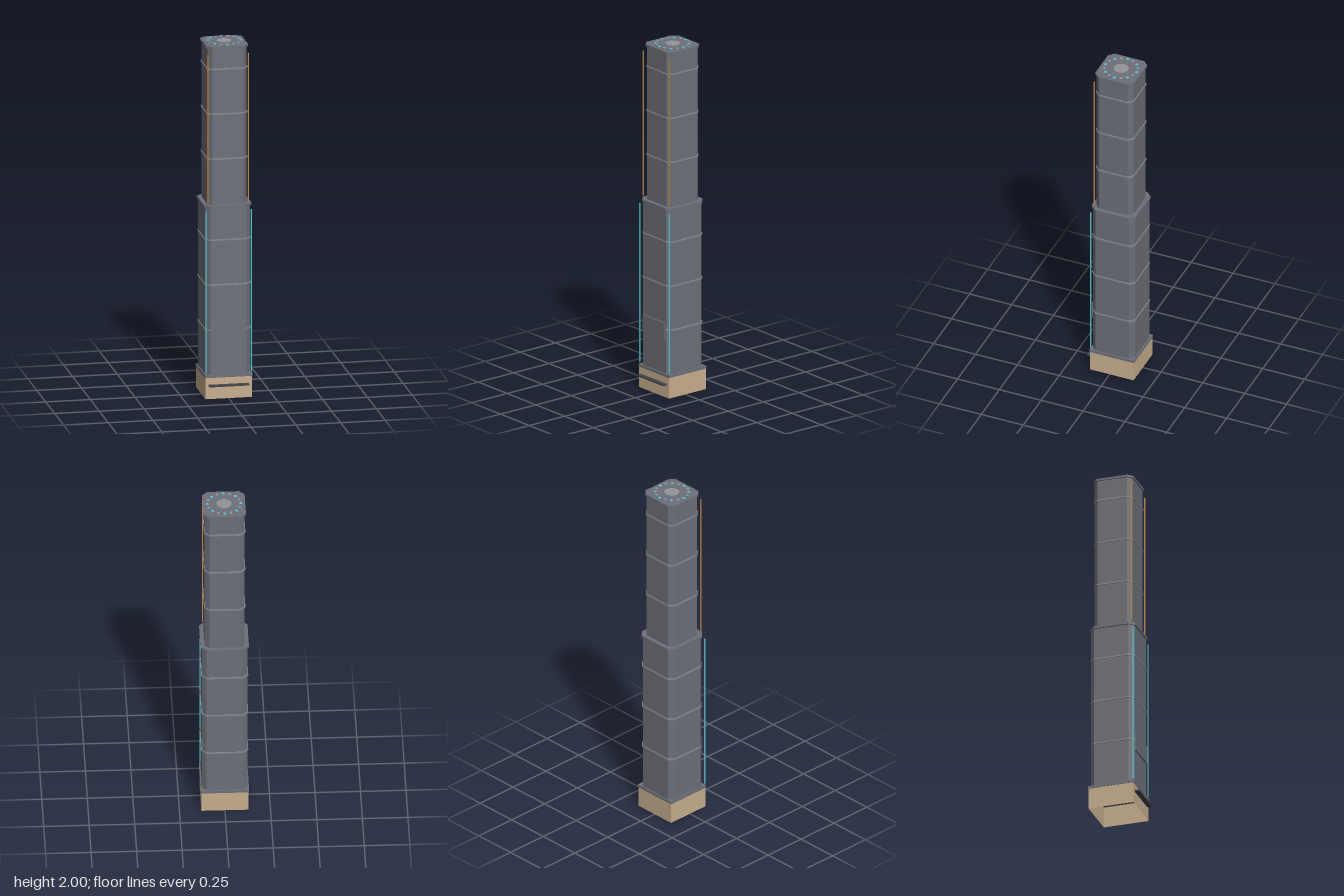
import * as THREE from 'three';

export function createModel() {
  const model = new THREE.Group();
  const tower = new THREE.Group();
  tower.name = 'tower';
  tower.position.z = -0.0125;
  model.add(tower);

  const mat = (name, color, side = THREE.FrontSide) => {
    const m = new THREE.MeshStandardMaterial({ color, side });
    m.name = name;
    return m;
  };
  const wall = mat('wall grey', 0x6d7078);
  const trim = mat('trim grey', 0x878a91);
  const stone = mat('tan stone', 0xc8af8e, THREE.DoubleSide);
  const cyan = mat('cyan light', 0x58c8d0);
  const amber = mat('amber light', 0xc08a45);
  const pale = mat('pale grey', 0x949598);
  const dark = mat('dark metal', 0x42454c);

  const add = (name, geo, material, x = 0, y = 0, z = 0) => {
    const mesh = new THREE.Mesh(geo, material);
    mesh.name = name;
    mesh.position.set(x, y, z);
    tower.add(mesh);
    return mesh;
  };
  const box = (name, material, w, h, d, x, y, z) =>
    add(name, new THREE.BoxGeometry(w, h, d), material, x, y, z);

  // Upright prism on a square with cut corners, half width r, corner cut c
  const prism = (name, material, r, c, y0, y1) => {
    const k = r - c;
    const shape = new THREE.Shape([
      [k, -r], [r, -k], [r, k], [k, r], [-k, r], [-r, k], [-r, -k], [-k, -r],
    ].map(([x, y]) => new THREE.Vector2(x, y)));
    const geo = new THREE.ExtrudeGeometry(shape, { depth: y1 - y0, bevelEnabled: false });
    geo.rotateX(-Math.PI / 2);
    return add(name, geo, material, 0, y0, 0);
  };

  // Hollow base, open below: four walls around a square
  const baseGeo = new THREE.CylinderGeometry(0.13 * Math.SQRT2, 0.13 * Math.SQRT2, 0.12, 4, 1, true);
  baseGeo.rotateY(Math.PI / 4);
  const flatBase = baseGeo.toNonIndexed();
  flatBase.computeVertexNormals();
  add('base', flatBase, stone, 0, 0.06, 0);
  box('baseSlab', wall, 0.266, 0.015, 0.266, 0, 0.1275, 0);

  // Two stacked shafts with their cornices
  prism('lowerShaft', wall, 0.125, 0.025, 0.135, 1.085);
  prism('lowerCornice', wall, 0.133, 0.033, 1.083, 1.096);
  prism('upperShaft', wall, 0.11, 0.025, 1.096, 1.985);
  prism('upperCornice', wall, 0.117, 0.029, 1.982, 1.994);

  // Thin bands between storeys
  for (const y of [0.39, 0.645, 0.9]) prism('lowerBand', trim, 0.129, 0.027, y - 0.004, y + 0.004);
  for (const y of [1.355, 1.61, 1.865]) prism('upperBand', trim, 0.114, 0.027, y - 0.004, y + 0.004);

  // Light strips standing off the two front corners
  for (const s of [-1, 1]) {
    box('lowerCornerLight', cyan, 0.006, 0.92, 0.006, s * 0.127, 0.605, 0.127);
    box('upperCornerLight', amber, 0.006, 0.84, 0.006, s * 0.113, 1.53, 0.113);
  }

  // Front sign panel and entrance canopy
  box('frontPanel', wall, 0.192, 0.1, 0.008, 0, 0.38, 0.13);
  box('canopy', dark, 0.224, 0.009, 0.036, 0, 0.077, 0.138);

  // Roof deck, centre disc and ring of lamps
  add('roofDeck', new THREE.CylinderGeometry(0.1, 0.1, 0.004, 16), wall, 0, 1.995, 0);
  add('roofDisc', new THREE.CylinderGeometry(0.041, 0.041, 0.004, 32), pale, 0, 1.997, 0);
  for (let i = 0; i < 16; i++) {
    const a = (i / 16) * Math.PI * 2;
    box('roofLamp', i % 2 ? pale : cyan, 0.015, 0.006, 0.015,
      Math.cos(a) * 0.0925, 1.997, Math.sin(a) * 0.0925);
  }
  return model;
}
